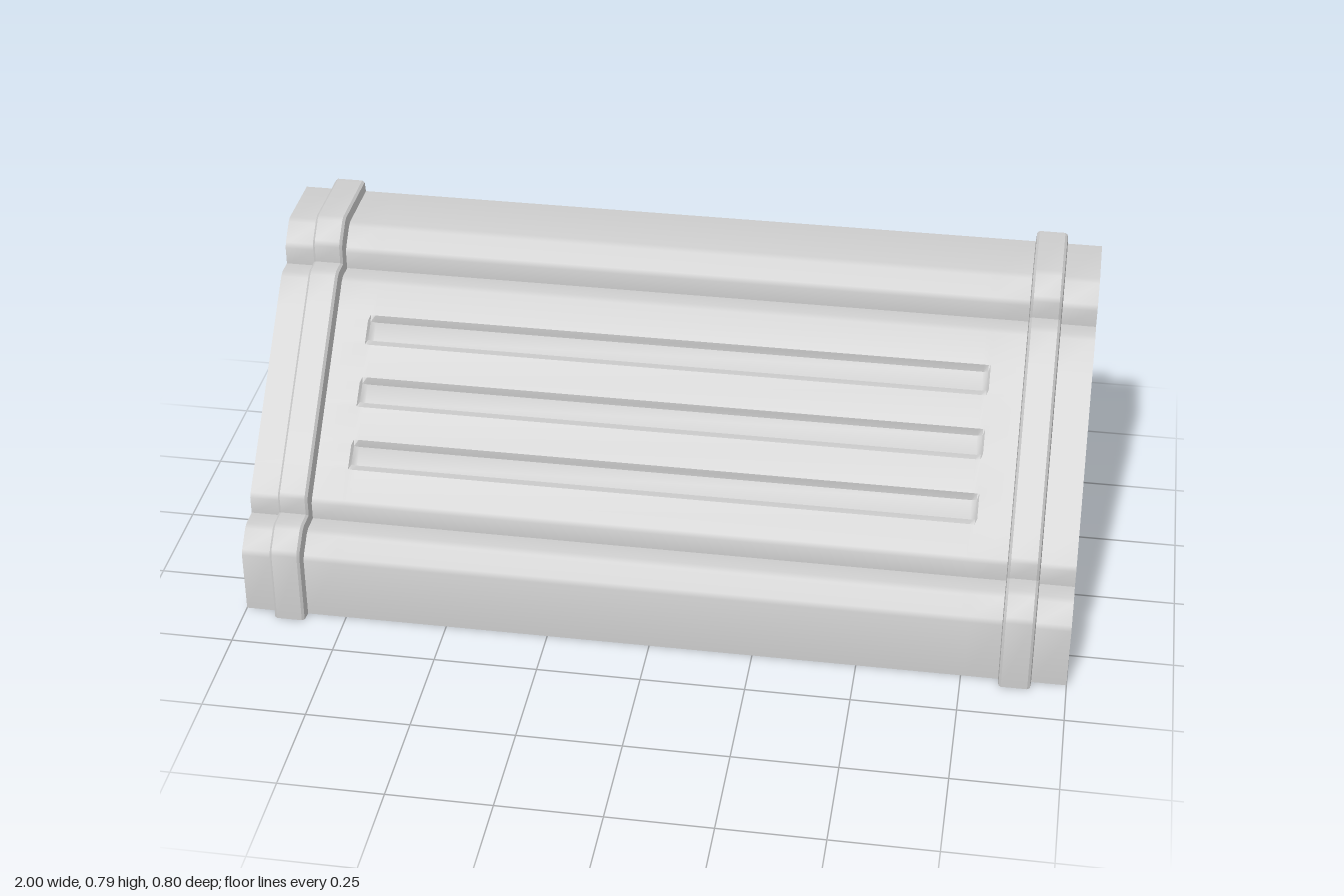
import * as THREE from 'three';
import { toCreasedNormals } from 'three/addons/utils/BufferGeometryUtils.js';

const RIB = 0.0295;           // how far the ribs stand off the sheet, in both z and y
const SLOPE = 0.527;          // on the sloping panel y = SLOPE - z
const GROOVE_DEPTH = 0.011;   // shift of the groove floor, in both z and y

// Sheet profile from the front foot to the rear edge: z, y, groove amount
function sheetProfile() {
  const pts = [
    [0.367, 0], [0.367, 0.158], [0.361, 0.171], [0.324, 0.208], [0.311, 0.214],
    [0.265, 0.214], [0.265, 0.258],
  ];
  const onSlope = (z, groove) => pts.push([z, SLOPE - z, groove]);
  onSlope(0.258, 0);
  for (let i = 0; i < 3; i++) {
    const z = 0.203 - i * 0.111;
    onSlope(z, 0);
    onSlope(z - 0.01, 1);
    onSlope(z - 0.043, 1);
    onSlope(z - 0.053, 0);
  }
  onSlope(-0.129, 0);
  pts.push([-0.142, 0.662], [-0.183, 0.662], [-0.183, 0.706], [-0.189, 0.719],
    [-0.226, 0.757], [-0.239, 0.763], [-0.4, 0.763]);
  return pts;
}

const profile = sheetProfile();
const material = new THREE.MeshStandardMaterial({ color: 0xcccccc, side: THREE.DoubleSide });

// Lofts the profile through stations of [x, rib height 0..1, groove depth 0..1]
function loft(name, stations) {
  const n = profile.length;
  const position = [];
  const index = [];
  stations.forEach(([x, rib, groove], i) => {
    profile.forEach(([z, y, g = 0], j) => {
      const shift = rib * RIB - groove * g * GROOVE_DEPTH;
      // the foot stays on the ground and the rear edge stays in line
      position.push(x, j === 0 ? y : y + shift, j === n - 1 ? z : z + shift);
      if (i > 0 && j > 0) {
        const a = (i - 1) * n + j - 1, b = i * n + j - 1;
        index.push(a, b, b + 1, a, b + 1, a + 1);
      }
    });
  });
  const geometry = new THREE.BufferGeometry();
  geometry.setAttribute('position', new THREE.Float32BufferAttribute(position, 3));
  geometry.setIndex(index);
  const mesh = new THREE.Mesh(toCreasedNormals(geometry, 0.6), material);
  mesh.name = name;
  return mesh;
}

// Raised band with steep sides and a small chamfer along each top edge
function ribStations(centre) {
  const half = 0.039;
  return [
    [centre - half, 0, 0], [centre - half + 0.002, 0.84, 0], [centre - half + 0.008, 1, 0],
    [centre + half - 0.008, 1, 0], [centre + half - 0.002, 0.84, 0], [centre + half, 0, 0],
  ];
}

export function createModel() {
  const group = new THREE.Group();
  group.name = 'foldedPanel';
  const right = ribStations(-0.885);
  const left = ribStations(0.878);

  // Flat flanges outside the ribs
  group.add(loft('rightFlange', [[-1, 0, 0], right[0]]));
  group.add(loft('leftFlange', [left[5], [1, 0, 0]]));

  // Ribs
  group.add(loft('rightRib', right));
  group.add(loft('leftRib', left));

  // Middle panel with three pressed grooves
  group.add(loft('groovedPanel', [
    right[5], [-0.767, 0, 0], [-0.762, 0.0, 0.55], [-0.75, 0, 1],
    [0.742, 0, 1], [0.754, 0, 0.55], [0.759, 0, 0], left[0],
  ]));
  return group;
}
